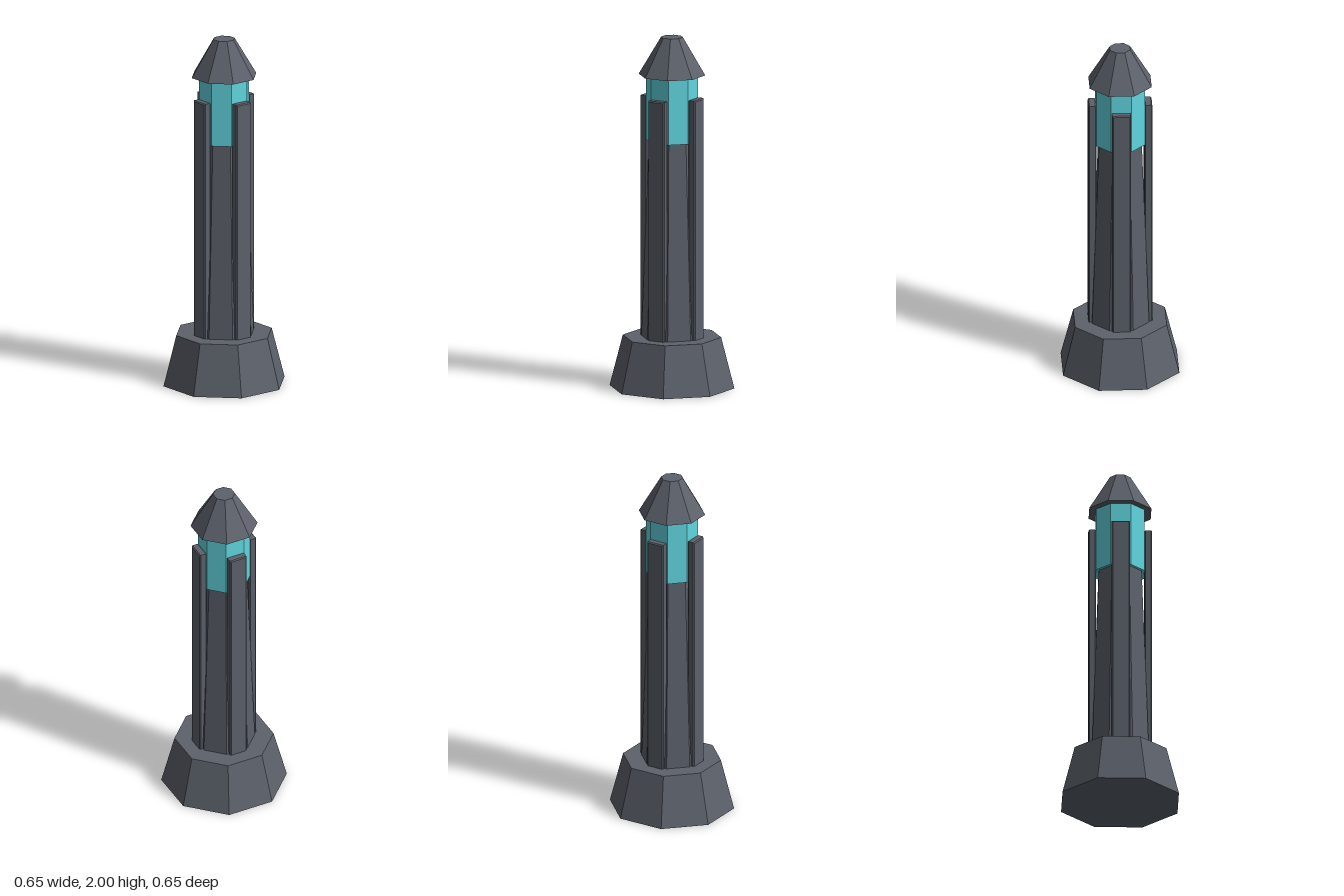
import * as THREE from 'three';

const SIDES = 8;
const toRadius = (apothem) => apothem / Math.cos(Math.PI / SIDES);

export function createModel() {
  const model = new THREE.Group();
  model.name = 'beaconPillar';

  const stone = new THREE.MeshStandardMaterial({ color: 0x5c616b, flatShading: true });
  stone.name = 'slate grey';
  const glow = new THREE.MeshStandardMaterial({ color: 0x61d6e0, flatShading: true });
  glow.name = 'glowing cyan';

  // Octagonal frustum with flat sides facing the axes, sized by its apothems
  function frustum(name, bottom, top, y0, y1, material) {
    const geometry = new THREE.CylinderGeometry(
      toRadius(top), toRadius(bottom), y1 - y0, SIDES, 1, false, Math.PI / SIDES);
    const mesh = new THREE.Mesh(geometry, material);
    mesh.name = name;
    mesh.position.y = (y0 + y1) / 2;
    model.add(mesh);
  }

  frustum('base', 0.326, 0.257, 0, 0.29, stone);
  frustum('shaft', 0.16, 0.12, 0.29, 1.41, stone);
  frustum('lantern', 0.136, 0.136, 1.41, 1.785, glow);
  frustum('cap', 0.174, 0.057, 1.785, 2, stone);

  // Chamfered upright, placed once on each of the four axis sides
  const chamfer = 0.006, halfWidth = 0.052, inner = 0.135, outer = 0.179;
  const y0 = 0.28, y1 = 1.66;
  const w = halfWidth - chamfer;
  const profile = new THREE.Shape([
    new THREE.Vector2(-w, y0 + chamfer), new THREE.Vector2(w, y0 + chamfer),
    new THREE.Vector2(w, y1 - chamfer), new THREE.Vector2(-w, y1 - chamfer),
  ]);
  const uprightGeometry = new THREE.ExtrudeGeometry(profile, {
    depth: outer - inner - 2 * chamfer,
    bevelEnabled: true, bevelSegments: 1, bevelSize: chamfer, bevelThickness: chamfer,
  });
  uprightGeometry.translate(0, 0, inner + chamfer);

  ['frontUpright', 'leftUpright', 'backUpright', 'rightUpright'].forEach((name, i) => {
    const upright = new THREE.Mesh(uprightGeometry, stone);
    upright.name = name;
    upright.rotation.y = i * Math.PI / 2;
    model.add(upright);
  });

  return model;
}
